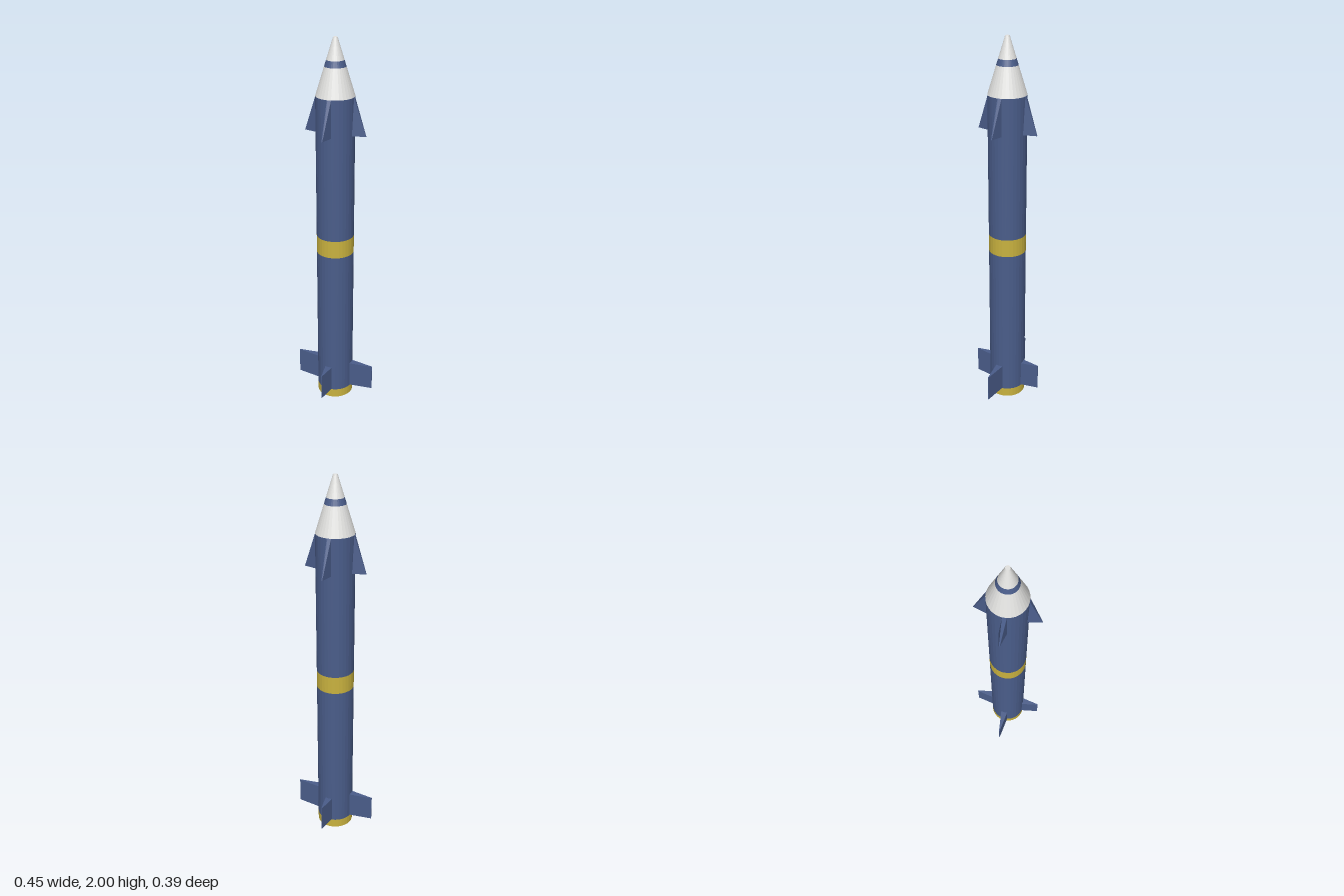
import * as THREE from 'three';

const SIDES = 32;
const RADIUS = 0.098;

function material(name, color) {
  const m = new THREE.MeshStandardMaterial({ color });
  m.name = name;
  m.flatShading = true;
  return m;
}

// Wedge fin pointing along +x: wide at the root, thin at the tip
function finGeometry(y0, y1, tipBottom, tipTop) {
  const root = 0.096, w = 0.019, t = 0.002;
  const ring = (y, tip) => [[root, y, w], [tip, y, t], [tip, y, -t], [root, y, -w]];
  const a = ring(y0, tipBottom), b = ring(y1, tipTop);
  const pos = [];
  const quad = (p, q, r, s) => pos.push(...p, ...q, ...r, ...p, ...r, ...s);
  for (let i = 0; i < 4; i++) {
    const j = (i + 1) % 4;
    quad(a[i], a[j], b[j], b[i]);
  }
  quad(a[3], a[2], a[1], a[0]);
  quad(b[0], b[1], b[2], b[3]);
  const g = new THREE.BufferGeometry();
  g.setAttribute('position', new THREE.Float32BufferAttribute(pos, 3));
  g.computeVertexNormals();
  return g;
}

export function createModel() {
  const model = new THREE.Group();
  model.name = 'rocket';
  const blue = material('blue paint', 0x4a5d8a);
  const yellow = material('yellow paint', 0xc9b23f);
  const white = material('white paint', 0xe2e2e0);

  const add = (name, geometry, mat) => {
    const mesh = new THREE.Mesh(geometry, mat);
    mesh.name = name;
    model.add(mesh);
    return mesh;
  };
  const section = (name, y0, y1, r0, r1, mat, open = true) => {
    const g = new THREE.CylinderGeometry(r1, r0, y1 - y0, SIDES, 1, open);
    g.translate(0, (y0 + y1) / 2, 0);
    return add(name, g, mat);
  };

  // Tube, from the tail to the nose
  section('tailRing', 0, 0.05, RADIUS, RADIUS, yellow);
  section('lowerBody', 0.05, 0.885, RADIUS, RADIUS, blue);
  section('middleBand', 0.885, 0.98, RADIUS, RADIUS, yellow);
  section('upperBody', 0.98, 1.72, RADIUS, RADIUS, blue);
  const base = new THREE.CircleGeometry(RADIUS, SIDES);
  base.rotateX(Math.PI / 2);
  base.rotateY(Math.PI / 2);
  add('tailCap', base, blue);

  // Nose cone with a painted ring
  const noseRadius = (y) => THREE.MathUtils.mapLinear(y, 1.72, 2, RADIUS, 0.011);
  const nose = (name, y0, y1, mat) => section(name, y0, y1, noseRadius(y0), noseRadius(y1), mat);
  nose('noseBase', 1.72, 1.862, white);
  nose('noseBand', 1.862, 1.893, blue);
  nose('noseTip', 1.893, 2, white);
  const cap = new THREE.CircleGeometry(noseRadius(2), SIDES);
  cap.rotateX(-Math.PI / 2);
  cap.translate(0, 2, 0);
  add('noseCap', cap, white);

  // Four swept nose fins and four square tail fins; the side tail fins are longer
  for (let i = 0; i < 4; i++) {
    const angle = i * Math.PI / 2;
    const span = i % 2 ? 0.193 : 0.224;
    add('noseFin', finGeometry(1.532, 1.72, 0.164, 0.099), blue).rotation.y = angle;
    add('tailFin', finGeometry(0.053, 0.198, span, span), blue).rotation.y = angle;
  }
  return model;
}
